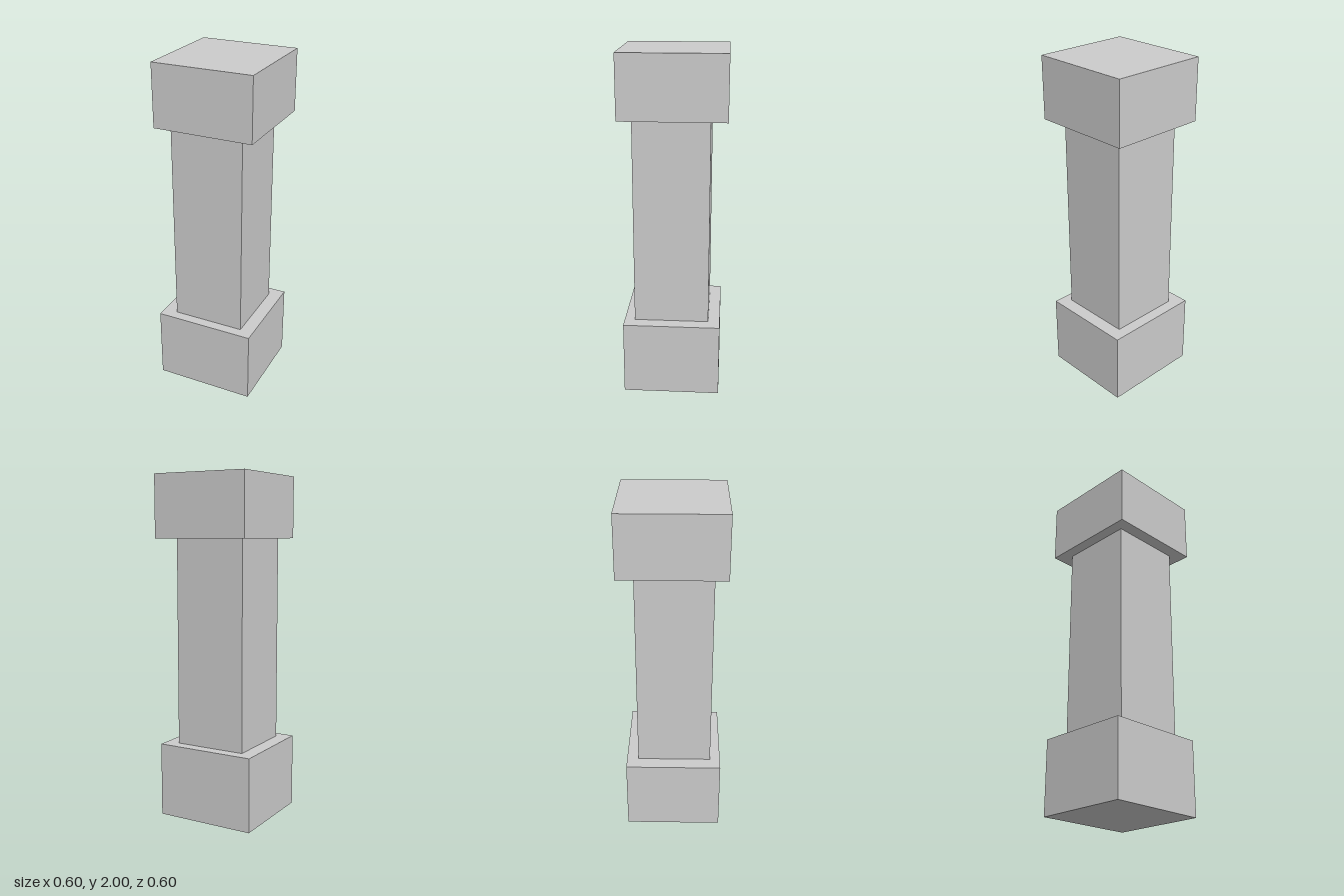
import * as THREE from 'three';

export function createModel() {
  const group = new THREE.Group();
  const material = new THREE.MeshStandardMaterial({ color: 0xcccccc, flatShading: true });

  // Adds a box given its extents along each axis
  function block(name, [x0, x1], [y0, y1], [z0, z1]) {
    const mesh = new THREE.Mesh(new THREE.BoxGeometry(x1 - x0, y1 - y0, z1 - z0), material);
    mesh.name = name;
    mesh.position.set((x0 + x1) / 2, (y0 + y1) / 2, (z0 + z1) / 2);
    group.add(mesh);
  }

  // Pillar: slightly offset hand-placed blocks
  block('base', [-0.3, 0.293], [0, 0.433], [-0.274, 0.288]);
  block('shaft', [-0.216, 0.213], [0.433, 1.64], [-0.206, 0.228]);
  block('capital', [-0.28, 0.299], [1.64, 2], [-0.3, 0.3]);

  return group;
}
